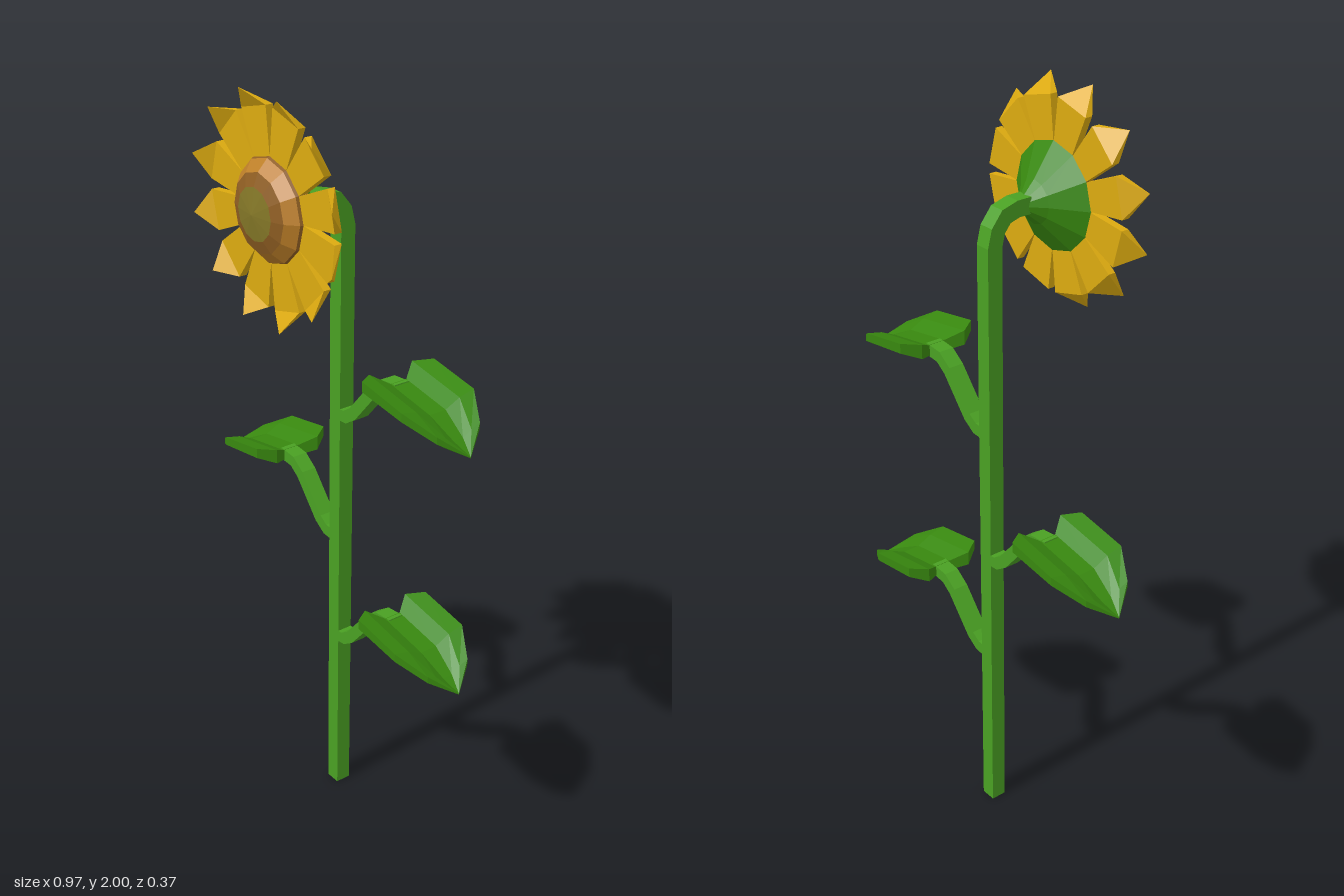
import * as THREE from 'three';

const flat = (name, color) => {
  const m = new THREE.MeshStandardMaterial({ color });
  m.name = name;
  m.flatShading = true;
  return m;
};

// Skin a list of closed cross-sections, capping both ends.
function loft(rings) {
  const pos = [];
  const tri = (a, b, c) => pos.push(...a, ...b, ...c);
  const quad = (a, b, c, d) => { tri(a, b, c); tri(a, c, d); };
  const n = rings[0].length;
  for (let r = 0; r < rings.length - 1; r++) {
    const a = rings[r], b = rings[r + 1];
    for (let i = 0; i < n; i++) {
      const j = (i + 1) % n;
      quad(a[i], a[j], b[j], b[i]);
    }
  }
  const s = rings[0], e = rings[rings.length - 1];
  for (let i = 0; i < n / 2 - 1; i++) {
    quad(s[n - 1 - i], s[n - 2 - i], s[i + 1], s[i]);
    quad(e[i], e[i + 1], e[n - 2 - i], e[n - 1 - i]);
  }
  const g = new THREE.BufferGeometry();
  g.setAttribute('position', new THREE.Float32BufferAttribute(pos, 3));
  g.computeVertexNormals();
  return g;
}

// Sweep a rectangular section along a path in the xy plane.
function bar(path, h, w) {
  const pts = path.map(p => new THREE.Vector2(...p));
  return loft(pts.map((p, i) => {
    const t0 = p.clone().sub(pts[Math.max(i - 1, 0)]).normalize();
    const t1 = pts[Math.min(i + 1, pts.length - 1)].clone().sub(p).normalize();
    const t = t0.clone().add(t1).normalize();
    const k = h / Math.max(t.dot(i ? t0 : t1), 0.5);
    const nx = -t.y * k, ny = t.x * k;
    return [[p.x + nx, p.y + ny, w], [p.x - nx, p.y - ny, w],
      [p.x - nx, p.y - ny, -w], [p.x + nx, p.y + ny, -w]];
  }));
}

// Cupped leaf with a notched inner end; heights are relative to its upper rim.
function leafGeometry() {
  const across = [-1, -0.6, -0.22, 0.22, 0.6, 1];
  // x at rim / shoulder / middle, half width, y at rim / shoulder / middle, thickness
  const rows = [
    { x: [0.22, 0.19, 0.22], w: 0.11, y: [0, -0.005, -0.03], t: 0.03 },
    { x: [0.365, 0.365, 0.365], w: 0.11, y: [-0.025, -0.035, -0.055], t: 0.025 },
    { x: [0.44, 0.44, 0.44], w: 0.065, y: [-0.07, -0.08, -0.095], t: 0.02 },
    { x: [0.485, 0.485, 0.485], w: 0, y: [-0.122, -0.122, -0.122], t: 0.002 },
  ];
  return loft(rows.map(({ x, w, y, t }) => {
    const top = across.map((a, i) => {
      const k = Math.min(i, 5 - i);
      return [x[k], y[k], a * w];
    });
    const drop = [0.9, 1.3, 1];
    const under = top.map(([px, py, pz], i) => [px, py - t * drop[Math.min(i, 5 - i)], pz]);
    return [...top, ...under.reverse()];
  }));
}

// Petal pointing along +x, with a tip curled forward (+z).
function petalGeometry() {
  const section = (r, w, z0, z1) => [[r, -w, z0], [r, w, z0], [r, w, z1], [r, -w, z1]];
  return loft([
    section(0.11, 0.031, 0.11, 0.13),
    section(0.237, 0.05, 0.11, 0.13),
    section(0.284, 0, 0.162, 0.162),
  ]);
}

export function createModel() {
  const stemGreen = flat('stem green', 0x4aa023);
  const leafGreen = flat('leaf green', 0x38880f);
  const yellow = flat('petal yellow', 0xdcaa10);
  const brown = flat('seed brown', 0x8f5e22);
  const orange = flat('seed orange', 0xbd7f28);
  const olive = flat('seed olive', 0x847727);

  const model = new THREE.Group();
  model.name = 'flower';
  const add = (parent, name, geo, mat) => {
    const m = new THREE.Mesh(geo, mat);
    m.name = name;
    parent.add(m);
    return m;
  };

  // Stem, bent forward at the top
  const stem = add(model, 'stem', bar([[0, 0], [0, 1.65], [0.01, 1.69], [0.034, 1.72],
    [0.07, 1.73], [0.108, 1.73]], 0.021, 0.021), stemGreen);
  stem.rotation.y = -Math.PI / 2;
  stem.position.z = -0.08;

  // Leaves on curved stalks, alternating sides
  const leafGeo = leafGeometry();
  const stalkGeo = bar([[0.005, -0.193], [0.04, -0.19], [0.07, -0.17], [0.15, -0.075],
    [0.185, -0.05], [0.235, -0.045]], 0.016, 0.021);
  [[1.35, 0], [0.99, Math.PI], [0.687, 0]].forEach(([y, turn]) => {
    const branch = new THREE.Group();
    branch.name = 'branch';
    add(branch, 'stalk', stalkGeo, stemGreen);
    add(branch, 'leaf', leafGeo, leafGreen);
    branch.position.set(0, y, -0.08);
    branch.rotation.y = turn;
    model.add(branch);
  });

  // Flower head, facing +z
  const head = new THREE.Group();
  head.name = 'flowerHead';
  head.position.y = 1.727;
  model.add(head);

  const turned = (name, profile, mat) => {
    const g = new THREE.LatheGeometry(profile.map(p => new THREE.Vector2(...p)), 12);
    g.rotateX(Math.PI / 2);
    return add(head, name, g, mat);
  };
  turned('calyx', [[0, 0.02], [0.021, 0.02], [0.055, 0.052], [0.136, 0.11]], leafGreen);
  turned('seedRim', [[0.136, 0.11], [0.125, 0.137]], brown);
  turned('seedOuterRing', [[0.125, 0.137], [0.097, 0.163]], orange);
  turned('seedInnerRing', [[0.097, 0.163], [0.065, 0.175]], brown);
  turned('seedCentre', [[0.065, 0.175], [0, 0.184]], olive);

  // Ring of twelve petals
  const petalGeo = petalGeometry();
  for (let i = 0; i < 12; i++) {
    add(head, 'petal', petalGeo, yellow).rotation.z = (i + 0.5) * Math.PI / 6;
  }
  return model;
}
